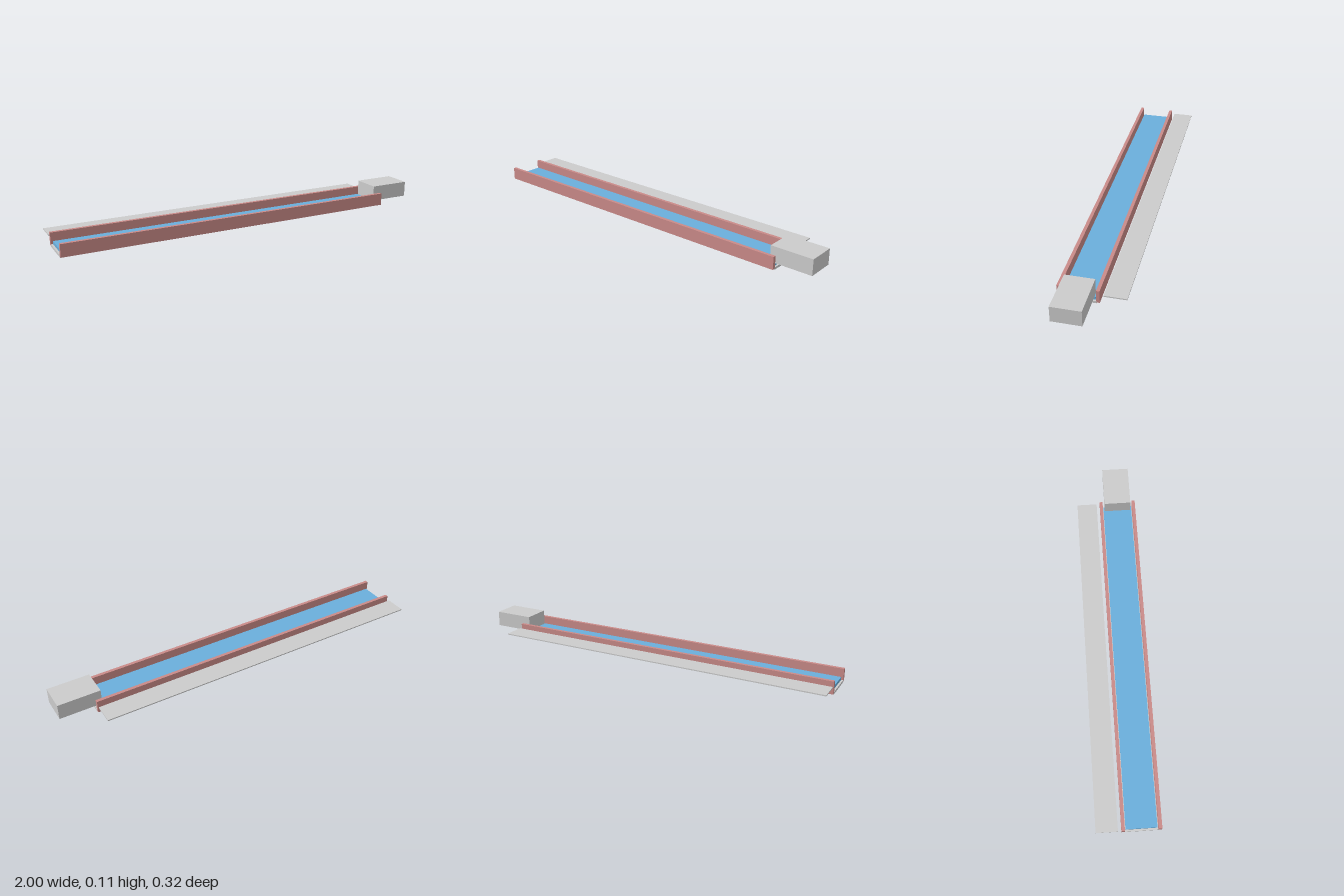
import * as THREE from 'three';

const grey = new THREE.MeshStandardMaterial({ color: 0xcccccc });
const red = new THREE.MeshStandardMaterial({ color: 0xc98a88 });
const blue = new THREE.MeshStandardMaterial({ color: 0x6aaedb });

// Box given by its extent along each axis
function slab(name, material, [x0, x1], [y0, y1], [z0, z1]) {
  const mesh = new THREE.Mesh(new THREE.BoxGeometry(x1 - x0, y1 - y0, z1 - z0), material);
  mesh.position.set((x0 + x1) / 2, (y0 + y1) / 2, (z0 + z1) / 2);
  mesh.name = name;
  return mesh;
}

export function createModel() {
  const model = new THREE.Group();
  model.name = 'conveyor';
  const length = [-1, 0.815];
  const midZ = 0.0635; // centre line of the channel

  // Channel floor and the belt lying on it
  model.add(slab('basePlate', grey, length, [0, 0.012], [midZ - 0.085, midZ + 0.085]));
  model.add(slab('belt', blue, [-0.99, 0.805], [0.012, 0.028], [midZ - 0.0785, midZ + 0.0785]));

  // Side rails, mirrored about the centre line
  for (const [name, side] of [['frontRail', 1], ['backRail', -1]]) {
    const rail = slab(name, red, length, [0.005, 0.0705], [-0.0085, 0.0085]);
    rail.position.z = midZ + side * 0.091;
    model.add(rail);
  }

  // Drive housing overhanging the end
  model.add(slab('driveHousing', grey, [0.78, 1], [0.027, 0.109], [midZ - 0.0725, midZ + 0.0725]));

  // Separate thin shelf running behind the channel
  model.add(slab('rearShelf', grey, length, [0.044, 0.05], [-0.162, -0.053]));

  return model;
}
